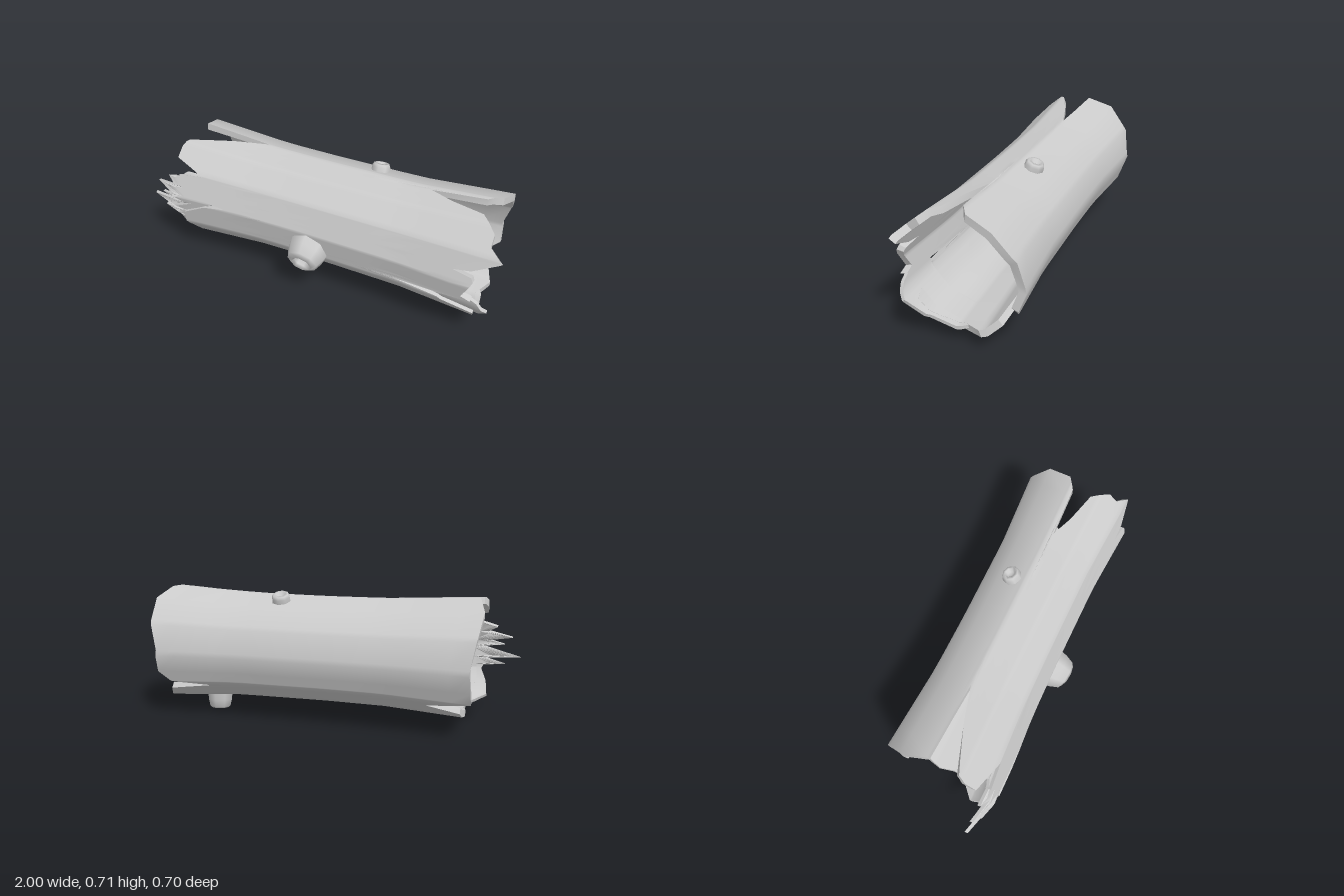
import * as THREE from 'three';
import { toCreasedNormals } from 'three/addons/utils/BufferGeometryUtils.js';

const CY = 0.385, CZ = -0.02, ROWS = 16;
const rad = THREE.MathUtils.degToRad;
const mat = new THREE.MeshStandardMaterial({ color: 0xcccccc, side: THREE.DoubleSide });

// Piecewise linear lookup in a list of [key, value] pairs
function lerpList(list, k) {
  for (let i = 1; i < list.length; i++) {
    const [k0, v0] = list[i - 1], [k1, v1] = list[i];
    if (k <= k1) return v0 + (v1 - v0) * Math.max(0, (k - k0) / (k1 - k0));
  }
  return list[list.length - 1][1];
}

// Radius along the log: slim in the middle, flared towards the ends
const OUTER = [[-1, 0.27], [-0.82, 0.325], [-0.33, 0.293], [0, 0.29], [0.48, 0.294], [0.93, 0.326]];
const INNER = [[-0.85, 0.288], [-0.33, 0.266], [0.48, 0.266], [0.93, 0.288]];

// Point on a twelve-sided tube; angle 0 faces front, 90 faces up
function tubePoint(x, deg, r) {
  const local = ((((deg - 5) % 30) + 30) % 30) - 15;
  const d = r * Math.cos(rad(15)) / Math.cos(rad(local));
  return [x, CY + d * Math.sin(rad(deg)), CZ + d * Math.cos(rad(deg))];
}

// Thick tube wall whose two ends follow ragged outlines [angle, x]
function raggedWall(name, left, right, outer, inner, from, to) {
  const closed = to - from === 360;
  const marks = [...left, ...right].map(p => p[0]);
  for (let a = -445; a <= 445; a += 30) marks.push(a);
  const cols = [...new Set([...marks, from, to])]
    .filter(a => a >= from && a <= to).sort((a, b) => a - b);
  if (closed) cols.pop();
  const pos = [], idx = [], n = cols.length, stride = ROWS + 1;
  for (const radius of [outer, inner])
    for (const a of cols) {
      const x0 = lerpList(left, a), x1 = lerpList(right, a);
      for (let j = 0; j <= ROWS; j++) {
        const x = x0 + (x1 - x0) * j / ROWS;
        pos.push(...tubePoint(x, a, radius(x)));
      }
    }
  const quad = (a, b, c, d) => idx.push(a, b, c, a, c, d);
  const off = n * stride;
  for (let i = 0; i < (closed ? n : n - 1); i++) {
    const a = i * stride, b = ((i + 1) % n) * stride;
    for (let j = 0; j < ROWS; j++) {
      quad(a + j, a + j + 1, b + j + 1, b + j);
      quad(off + b + j, off + b + j + 1, off + a + j + 1, off + a + j);
    }
    // broken rims joining outside and inside
    quad(a, b, off + b, off + a);
    quad(b + ROWS, a + ROWS, off + a + ROWS, off + b + ROWS);
  }
  const geo = new THREE.BufferGeometry();
  geo.setAttribute('position', new THREE.Float32BufferAttribute(pos, 3));
  geo.setIndex(idx);
  const mesh = new THREE.Mesh(toCreasedNormals(geo, 0.65), mat);
  mesh.name = name;
  return mesh;
}

// Hollow branch stump; profile is [radius, distance from the log axis]
function knot(name, x, deg, profile) {
  const geo = new THREE.LatheGeometry(profile.map(p => new THREE.Vector2(...p)), 8);
  const mesh = new THREE.Mesh(geo, mat);
  mesh.name = name;
  mesh.position.set(x, CY, CZ);
  mesh.rotation.x = rad(90 - deg);
  return mesh;
}

export function createModel() {
  const group = new THREE.Group();
  group.name = 'hollowLog';

  // Bark outlines with cracks and torn edges
  const barkLeft = [
    [-90, -0.72], [-70, -0.73], [-35, -0.77], [-12, -0.76], [2, -0.62], [6, -0.49], [9, -0.64],
    [12, -0.75], [31, -0.78], [34, -0.64], [40, -0.72], [47, -0.82], [60, -0.82], [68, -0.8],
    [85, -0.56], [95, -0.38], [97, -0.55], [99, -0.79], [125, -0.82], [150, -0.8], [180, -0.77],
    [215, -0.78], [228, -0.55], [238, -0.72], [255, -0.74], [270, -0.72]];
  const barkRight = [
    [-90, 0.86], [-60, 0.89], [-40, 0.9], [-23, 0.72], [-20, 0.47], [-17, 0.72], [-13, 0.89],
    [-10, 0.84], [10, 0.89], [14, 0.88], [17, 0.78], [20, 0.87], [33, 1], [45, 0.93], [56, 0.93],
    [73, 0.85], [81, 0.68], [90, 0.56], [92, 0.84], [100, 0.91], [125, 0.94], [150, 0.93],
    [180, 0.89], [203, 0.9], [214, 0.84], [222, 0.62], [230, 0.87], [250, 0.91], [270, 0.86]];
  const outer = x => lerpList(OUTER, x), inner = x => lerpList(INNER, x);
  group.add(raggedWall('bark', barkLeft, barkRight, outer, inner, -90, 270));

  // Inner wood layers showing past the bark
  const splinters = [
    [-75, -0.74], [-57, -0.83], [-40, -0.82], [-25, -0.79], [-21, -0.8], [-19, -0.92], [-13, -0.82],
    [-10, -1], [0, -0.8], [4, -0.91], [7, -0.83], [15, -0.95], [18, -0.82], [26, -0.87],
    [30, -0.78], [36, -0.74]];
  const tornWood = [[-110, 0.84], [-90, 0.89], [-60, 0.91], [-32, 0.97], [-18, 0.92], [-8, 0.83]];
  const layerOut = x => outer(x) - 0.018, layerIn = x => outer(x) - 0.036;
  group.add(raggedWall('splinters', splinters, [[-75, -0.6], [36, -0.6]], layerOut, layerIn, -75, 36));
  group.add(raggedWall('tornWood', [[-110, 0.7], [-8, 0.7]], tornWood, layerOut, layerIn, -110, -8));

  // Branch stumps
  group.add(knot('frontKnot', 0, -20, [
    [0, 0.31], [0.038, 0.31], [0.045, 0.36], [0.06, 0.377], [0.085, 0.36], [0.105, 0.31], [0.115, 0.265]]
    .reverse()));
  group.add(knot('bottomKnot', 0.66, -94, [
    [0.075, 0.28], [0.07, 0.335], [0.062, 0.372], [0.05, 0.383], [0.035, 0.375], [0.025, 0.34], [0, 0.34]]));
  group.add(knot('topKnot', 0.25, 110, [
    [0.052, 0.27], [0.05, 0.305], [0.042, 0.32], [0.027, 0.322], [0.02, 0.3], [0, 0.3]]));
  return group;
}
